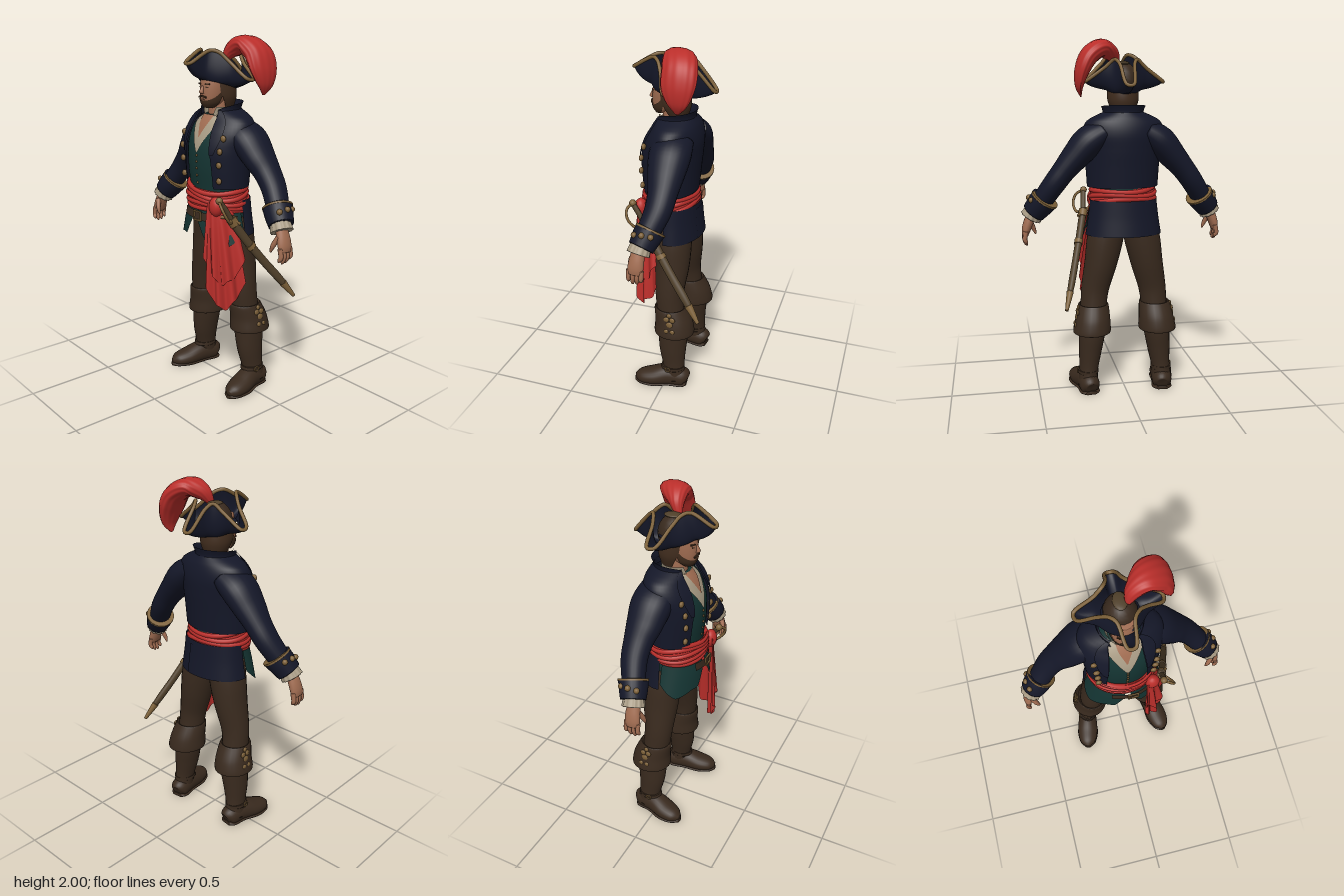
import * as THREE from 'three';
import { ParametricGeometry } from 'three/addons/geometries/ParametricGeometry.js';

const V = (x, y, z) => new THREE.Vector3(x, y, z);
const { PI, sin, cos, abs, min, max } = Math;
const mat = (name, color) => Object.assign(new THREE.MeshStandardMaterial({ color, side: THREE.DoubleSide }), { name });

// Smooth interpolation through rows of numbers, t from 0 to 1
const cr = (a, b, c, d, t) => b + 0.5 * t * (c - a + t * (2 * a - 5 * b + 4 * c - d + t * (3 * (b - c) + d - a)));
function mix(R, t) {
  const n = R.length - 1, p = min(max(t, 0), 1) * n, i = min(Math.floor(p), n - 1);
  const g = k => R[min(max(k, 0), n)];
  return R[0].map((_, c) => cr(g(i - 1)[c], g(i)[c], g(i + 1)[c], g(i + 2)[c], p - i));
}

// Closed body swept through rows [x, y, z, radiusA, radiusB]
function loft(R, { seg = 24, steps = R.length * 5, ref = V(0, 0, 1), tangent, k = 0, amp = 0, floor = -1 } = {}) {
  const pos = [], idx = [];
  for (let i = 0; i <= steps; i++) {
    const t = i / steps, [x, y, z, ra, rb] = mix(R, t);
    const T = tangent || V(...mix(R, t + 0.01)).sub(V(...mix(R, t - 0.01))).normalize();
    const S = T.clone().cross(ref).normalize(), B = S.clone().cross(T);
    for (let j = 0; j < seg; j++) {
      const a = j / seg * 2 * PI, f = 1 + amp * cos(k * a);
      const p = V(x, y, z).addScaledVector(S, cos(a) * ra * f).addScaledVector(B, sin(a) * rb * f);
      pos.push(p.x, max(p.y, floor), p.z);
    }
  }
  for (let i = 0; i < steps; i++) for (let j = 0; j < seg; j++) {
    const a = i * seg + j, b = i * seg + (j + 1) % seg;
    idx.push(a, a + seg, b, b, a + seg, b + seg);
  }
  const n = pos.length / 3, last = steps * seg;
  pos.push(...R[0].slice(0, 3), ...R[R.length - 1].slice(0, 3));
  for (let j = 0; j < seg; j++) {
    const q = (j + 1) % seg;
    idx.push(n, j, q, n + 1, last + q, last + j);
  }
  const g = new THREE.BufferGeometry();
  g.setAttribute('position', new THREE.Float32BufferAttribute(pos, 3));
  g.setIndex(idx);
  g.computeVertexNormals();
  return g;
}

// Point on a stack of horizontal ellipses; angle a is measured from the front toward +x
function onRows(R, t, a, off = 0) {
  const [x, y, z, rx, rz] = mix(R, t);
  return V(x + (rx + off) * sin(a), y, z + (rz + off) * cos(a));
}
// Open garment panel lying on those ellipses
const patch = (R, a, { t0 = 0, t1 = 1, off = 0, tilt = 0, hem = () => 1 } = {}) =>
  new ParametricGeometry((u, v, o) => {
    const t = t0 + (t1 - t0) * v * hem(u), [a0, a1] = a(v, t);
    o.copy(onRows(R, t, a0 + (a1 - a0) * u, off));
    o.y += tilt * o.x;
  }, 48, 20);

const mirror = (R, s) => R.map(([x, ...r]) => [s * x, ...r]);

export function createModel() {
  const model = new THREE.Group();
  const navy = mat('navy cloth', 0x141728), brown = mat('brown leather', 0x392a1e), teal = mat('teal cloth', 0x143432),
    red = mat('red cloth', 0xba2e2a), gold = mat('dull gold', 0x7c6038), skin = mat('skin', 0xa06c51),
    cream = mat('cream linen', 0xa89b84), hair = mat('dark hair', 0x412d1e), olive = mat('scabbard leather', 0x50402a);
  const add = (name, geo, m, p) => {
    const o = new THREE.Mesh(geo, m);
    o.name = name;
    if (p) o.position.copy(p);
    model.add(o);
    return o;
  };
  const ball = (name, m, p, sx, sy = sx, sz = sx) => add(name, new THREE.SphereGeometry(1, 16, 12), m, p).scale.set(sx, sy, sz);
  const tube = (name, m, pts, r, closed = false) =>
    add(name, new THREE.TubeGeometry(new THREE.CatmullRomCurve3(pts, closed), pts.length * 6, r, 8, closed), m);

  // Torso, vest and shirt
  const torso = [[0, 1, .02, .175, .14], [0, 1.15, .025, .175, .14], [0, 1.3, .03, .185, .15],
    [0, 1.42, .025, .195, .145], [0, 1.52, .015, .17, .115], [0, 1.58, .01, .08, .08]];
  add('vest', loft(torso, { seg: 40, tangent: V(0, 1, 0) }), teal);
  const vee = (v, w) => w * (.03 + .68 * v + .4 * v ** 3);
  add('shirt', patch(torso, v => [-vee(v, 1), vee(v, 1)], { t0: .53, off: .006 }), cream);
  add('chest', patch(torso, v => [-vee(v, .48), vee(v, .48)], { t0: .68, off: .01 }), skin);
  for (let i = 0; i < 5; i++) ball('vestButton', gold, onRows(torso, .28 + i * .055, 0, .003), .007, .007, .005);
  add('neck', new THREE.CylinderGeometry(.052, .06, .16, 24), skin, V(0, 1.59, .025));

  // Coat: sixth column is the half angle of the front opening
  const coat = [[0, 1.19, .03, .203, .15, .57], [0, 1.3, .03, .21, .16, .54], [0, 1.4, .025, .218, .165, .47],
    [0, 1.49, .008, .23, .152, .4], [0, 1.56, -.005, .205, .124, .42], [0, 1.61, 0, .105, .1, .66]];
  add('coatBody', patch(coat, (v, t) => [mix(coat, t)[5], 2 * PI - mix(coat, t)[5]]), navy);
  const collar = [[0, 1.57, .005, .116, .11], [0, 1.612, .005, .115, .108], [0, 1.648, -.002, .128, .11]];
  add('coatCollar', patch(collar, v => [.6 + .15 * v, 2 * PI - .6 - .15 * v], { hem: u => .5 + .5 * sin(PI * u) ** .7 }), navy);
  const shirtCollar = [[0, 1.53, .018, .07, .096], [0, 1.58, .022, .07, .086], [0, 1.622, .022, .084, .084]];
  add('shirtCollar', patch(shirtCollar, v => [.42 + .3 * v, 2 * PI - .42 - .3 * v]), cream);
  const skirt = [[0, 1.12, -.002, .19, .13], [0, 1.02, -.002, .202, .138], [0, .92, -.002, .218, .15]];
  add('coatSkirt', patch(skirt, () => [1.45, 2 * PI - 1.45]), navy);
  add('coatPleat', patch(skirt, () => [PI - .35, PI + .35], { t0: .15, t1: .97, off: .005 }), navy);
  const vestSkirt = [[0, 1.1, .03, .18, .145], [0, 1, .03, .205, .167], [0, .88, .03, .238, .175]];
  for (const s of [1, -1]) {
    add('vestFlap', patch(vestSkirt, v => [s * (.02 + .1 * v), s * 1.6], {
      hem: u => u < .62 ? .5 + .34 * min(u / .15, 1) + .16 * max(u - .3, 0) / .32 : 1 - .9 * (u - .62) }), teal);
    add('lapel', patch(coat, (v, t) => [s * mix(coat, t)[5], s * (mix(coat, t)[5] + .34 * sin(PI * (.1 + .75 * v)))],
      { t0: .35, t1: .97, off: .009 }), navy);
    for (let i = 0; i < 4; i++) ball('coatButton', gold, onRows(coat, .1 + i * .15, s * .77, .011), .018, .018, .012);
  }

  // Trousers seat, sash, belt
  add('trouserSeat', loft([[0, .91, -.01, .08, .06], [0, .96, 0, .15, .1], [0, 1.02, .01, .17, .12], [0, 1.1, .02, .17, .13]], { tangent: V(0, 1, 0) }), brown);
  const band = [[0, 1.065, .033, .182, .148], [0, 1.12, .033, .19, .156], [0, 1.185, .033, .183, .148]];
  add('sash', patch(band, () => [0, 2 * PI], { tilt: -.07 }), red);
  for (let f = 0; f < 5; f++) {
    const pts = [];
    for (let i = 0; i < 24; i++) {
      const a = i / 24 * 2 * PI, p = onRows(band, .1 + f * .2 + .09 * sin(2 * a + f), a, -.004);
      pts.push(V(p.x, p.y - .07 * p.x, p.z));
    }
    tube('sashFold', red, pts, .014, true);
  }
  ball('sashKnot', red, V(.145, 1.1, .165), .042, .055, .036);
  // Hanging sash ends, pleated around the front of the thigh
  const tail = (w, end, ph) => new ParametricGeometry((u, v, o) => {
    const a = u * PI / 2, g = v ** .8, f = (1 + .1 * sin(u * 20 + ph) * g) * w;
    const low = end - .13 * sin(PI * u) + .015 * sin(u * 20 + ph);
    o.set(.107 + (.055 + .08 * g) * sin(a) * f, 1.12 + (low - 1.12) * v, .09 - .05 * g + (.1 + .065 * g) * cos(a) * f);
  }, 60, 24);
  add('sashTail', tail(1, .65, 0), red);
  add('sashTailOver', tail(1.04, .8, 2), red);
  const belt = [[0, 1.015, .03, .206, .17], [0, 1.06, .03, .198, .164]];
  add('belt', patch(belt, () => [-.45, 1.4], { tilt: -.1, off: .004 }), brown);
  for (const [x, y, w, h] of [[0, .025, .06, .008], [0, -.025, .06, .008], [.028, 0, .008, .055], [-.028, 0, .008, .055]])
    add('beltBuckle', new THREE.BoxGeometry(w, h, .009), gold, V(.03 + x, 1.034 + y, .205));

  for (const s of [1, -1]) {
    // Sleeve, cuff, lace and hand
    const arm = (name, R, m, o) => add(name, loft(mirror(R, s), o), m);
    arm('sleeve', [[.12, 1.5, -.02, .07, .108], [.2, 1.447, -.025, .087, .114], [.275, 1.365, -.028, .077, .099],
      [.335, 1.295, -.032, .066, .081], [.395, 1.215, -.026, .062, .072], [.46, 1.12, .005, .058, .062]], navy);
    arm('cuff', [[.446, 1.13, -.004, .08, .08], [.476, 1.092, .012, .075, .076], [.507, 1.052, .026, .067, .068]], navy);
    arm('cuffTrim', [[.443, 1.134, -.006, .082, .082], [.449, 1.125, -.003, .082, .082]], gold);
    arm('lace', [[.5, 1.062, .028, .052, .054], [.523, 1.022, .036, .06, .06]], cream, { seg: 48, k: 12, amp: .05 });
    for (const d of [-.045, 0, .045]) {
      const out = Math.sqrt(.076 ** 2 - d * d);
      ball('cuffButton', gold, V(s * (.474 + .79 * out), 1.092 + .61 * out, .012 + d), .016);
    }
    arm('hand', [[.517, 1.04, .037, .028, .034], [.538, .99, .04, .028, .041], [.551, .95, .043, .025, .043], [.557, .92, .045, .018, .038]], skin);
    for (let i = 0; i < 4; i++) {
      const z = .009 + i * .023, d = abs(i - 1.6) * .012;
      arm('finger', [[.553, .945, z, .014, .013], [.561, .9, z, .013, .012], [.553, .865 + d, z + .003, .011, .01], [.547, .852 + d, z + .004, .003, .003]], skin, { seg: 10 });
    }
    arm('thumb', [[.53, 1, .068, .014, .016], [.508, .95, .086, .013, .013], [.494, .915, .088, .005, .005]], skin, { seg: 10 });

    // Leg, boot and foot
    arm('trouserLeg', [[.085, 1, 0, .1, .115], [.11, .88, -.01, .103, .108], [.135, .75, -.012, .093, .1],
      [.168, .6, -.01, .08, .083], [.18, .48, -.02, .074, .078]], brown);
    arm('bootShaft', [[.182, .48, -.03, .07, .08], [.19, .36, -.04, .075, .088], [.203, .24, -.04, .066, .08],
      [.214, .13, -.05, .054, .065], [.22, .04, -.06, .058, .066]], brown);
    arm('bootCuff', [[.19, .38, -.045, .08, .09], [.193, .357, -.047, .108, .117], [.187, .43, -.042, .101, .109],
      [.181, .5, -.022, .09, .096], [.18, .515, -.02, .082, .087], [.18, .5, -.02, .07, .075]], brown, { tangent: V(0, 1, 0) });
    arm('foot', [[.208, .035, -.13, .03, .035], [.212, .045, -.105, .055, .06], [.225, .055, -.02, .06, .065],
      [.245, .04, .07, .066, .052], [.26, .032, .14, .05, .038], [.267, .028, .174, .014, .014]], brown, { ref: V(0, 1, 0), floor: .008 });
    arm('sole', [[.208, .008, -.13, .035, .012], [.212, .008, -.1, .058, .012], [.225, .008, -.02, .056, .012],
      [.245, .008, .07, .069, .012], [.26, .008, .145, .05, .012], [.268, .008, .178, .014, .012]], brown, { ref: V(0, 1, 0), floor: 0 });
    const strap = [[s * .217, .11, -.045, .06, .07], [s * .217, .13, -.047, .059, .069]];
    add('ankleStrap', loft(strap, { tangent: V(0, 1, 0) }), brown);
    add('ankleBuckle', new THREE.TorusGeometry(.014, .004, 8, 16), gold, V(s * .276, .12, -.03)).rotation.y = PI / 2;
    // Ornament on the outer side of the boot cuff
    for (const [y, z, r] of [[.5, -.04, .014], [.475, -.025, .017], [.475, -.06, .017], [.445, -.045, .02], [.405, -.03, .014], [.405, -.065, .014]])
      ball('cuffOrnament', gold, V(s * (.27 + (.5 - y) * .2), y, z), .008, r, r);
  }

  // Head
  const head = [[0, 1.617, .085, .028, .03], [0, 1.645, .068, .054, .064], [0, 1.69, .055, .067, .083],
    [0, 1.75, .045, .072, .09], [0, 1.81, .04, .065, .08]];
  add('head', loft(head, { tangent: V(0, 1, 0), seg: 32 }), skin);
  add('beard', patch(head, () => [-1.6, 1.6], { off: .005, hem: u => .33 + .33 * abs(2 * u - 1) ** 3 }), hair);
  add('mouth', new THREE.BoxGeometry(.03, .005, .006), skin, V(0, 1.664, .137));
  add('nose', loft([[0, 1.735, .132, .008, .008], [0, 1.705, .143, .012, .013], [0, 1.695, .14, .013, .01]], { tangent: V(0, 1, 0), seg: 12 }), skin);
  const mane = [[0, 1.61, .002, .064, .064], [0, 1.67, .01, .086, .088], [0, 1.74, .02, .086, .092], [0, 1.8, .03, .075, .08]];
  add('hair', patch(mane, v => [1.25 - .3 * min(v * 2, 1), 2 * PI - 1.25 + .3 * min(v * 2, 1)]), hair);
  for (const s of [1, -1]) {
    add('moustache', new THREE.BoxGeometry(.03, .009, .008), hair, V(s * .015, 1.678, .139)).rotation.set(0, s * .25, -s * .25);
    add('eye', new THREE.BoxGeometry(.017, .006, .006), hair, V(s * .029, 1.728, .127)).rotation.y = s * .35;
    add('eyebrow', new THREE.BoxGeometry(.03, .007, .009), hair, V(s * .03, 1.744, .128)).rotation.set(0, s * .35, s * .1);
  }

  // Four-pointed cocked hat with upturned sides
  const half = [[.018, 1.857, .235], [.044, 1.92, .12], [.074, 1.912, .084], [.12, 1.865, .052], [.214, 1.777, .004],
    [.217, 1.773, -.036], [.11, 1.85, -.06], [.062, 1.89, -.082], [.042, 1.868, -.115], [.018, 1.757, -.212]];
  const rim = new THREE.CatmullRomCurve3([...half, ...mirror(half, -1).reverse()].map(p => V(...p)), true);
  add('hatBrim', new ParametricGeometry((u, v, o) => {
    const e = rim.getPoint(u), a = Math.atan2(e.x, e.z - .015);
    const base = V(.1 * sin(a), 1.735 + .03 * cos(a), .03 + .1 * cos(a));
    const belly = base.clone().lerp(e, .5).add(V(.025 * sin(a), -.3 * (e.y - base.y), .025 * cos(a)));
    o.copy(base).multiplyScalar((1 - v) ** 2).addScaledVector(belly, 2 * v * (1 - v)).addScaledVector(e, v * v);
  }, 160, 12), navy);
  add('hatTrim', new THREE.TubeGeometry(rim, 160, .01, 8, true), gold);
  ball('hatLining', navy, V(0, 1.775, .025), .1, .025, .103);
  ball('hatCrown', brown, V(0, 1.775, .01), .085, .105, .092);
  ball('hatCrownTop', olive, V(0, 1.872, 0), .035, .012, .05);

  // Plume
  add('plume', loft([[.035, 1.865, .012, .015, .018], [.068, 1.92, -.015, .042, .045], [.13, 1.95, -.05, .048, .08], [.2, 1.908, -.078, .05, .092],
    [.24, 1.83, -.082, .04, .09], [.256, 1.75, -.084, .022, .058], [.247, 1.692, -.08, .003, .01]], { seg: 72, steps: 48, k: 12, amp: .02 }), red);

  // Sword in its scabbard
  const sheath = [[.215, 1.04, .12, .021, .026], [.248, .91, .035, .02, .025], [.285, .78, -.06, .019, .024],
    [.322, .66, -.155, .018, .023], [.357, .548, -.238, .006, .007]];
  add('scabbard', loft(sheath), olive);
  const part = (a, b, grow) => [0, .5, 1].map(t => mix(sheath, a + (b - a) * t).map((c, i) => i > 2 ? c + grow : c));
  add('scabbardTip', loft(part(.8, 1, .003)), gold);
  add('scabbardThroat', loft(part(0, .09, .004)), gold);
  add('scabbardRing', loft(part(.3, .34, .004)), gold);
  tube('grip', olive, [V(.217, 1.03, .115), V(.212, 1.09, .15), V(.205, 1.14, .185)], .015);
  ball('pommel', gold, V(.203, 1.147, .19), .02);
  tube('knuckleGuard', gold, [V(.205, 1.145, .195), V(.245, 1.12, .21), V(.265, 1.07, .195), V(.25, 1.025, .15), V(.217, 1.035, .12)], .008);
  tube('crossGuard', gold, [V(.17, 1.045, .15), V(.215, 1.04, .122), V(.25, 1.01, .08)], .009);
  return model;
}
